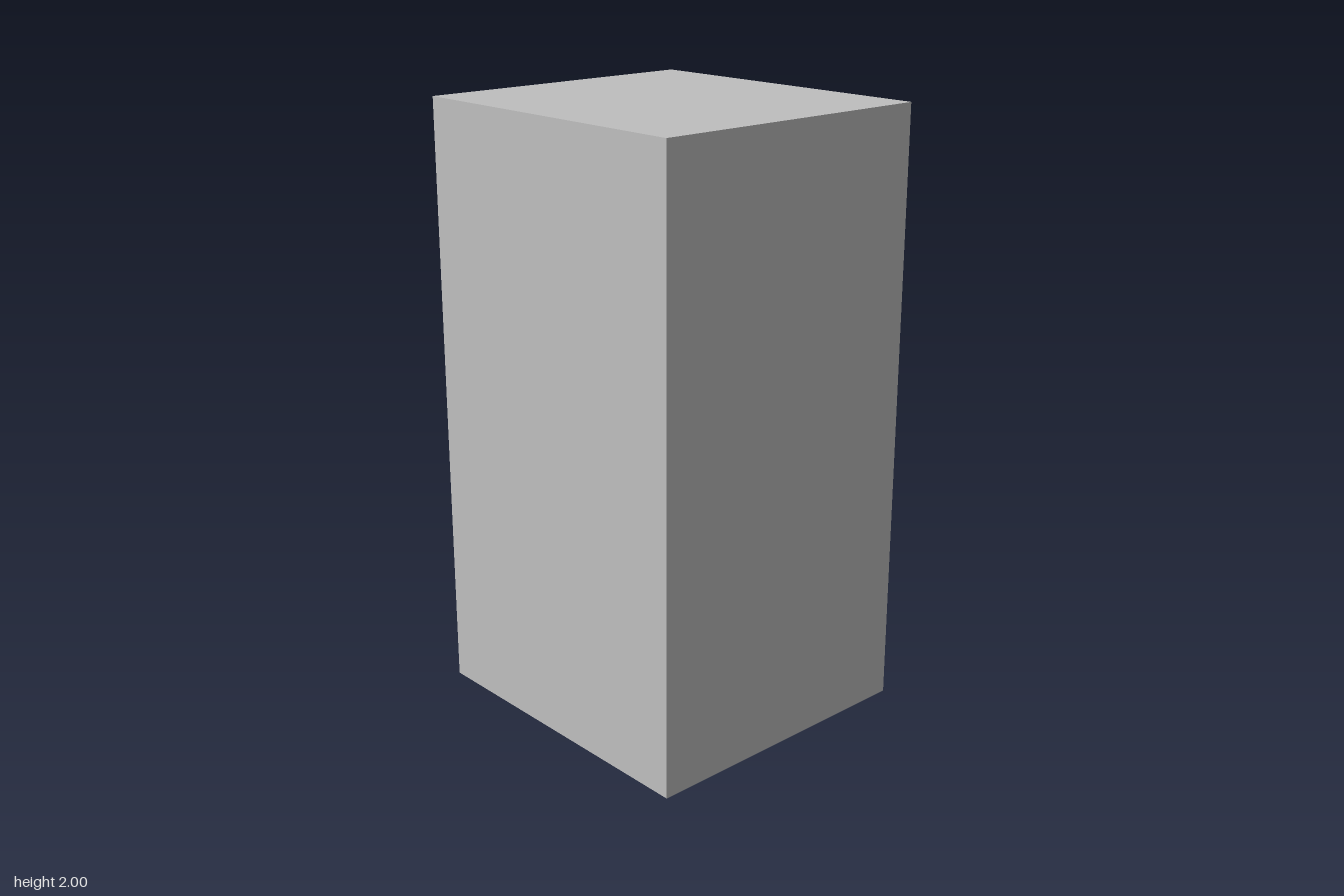
import * as THREE from 'three';

const W = 1.08, H = 2, D = 1, T = 0.04; // outer size and board thickness

export function createModel() {
  const cabinet = new THREE.Group();
  cabinet.name = 'cabinet';
  const grey = new THREE.MeshStandardMaterial({ color: 0xbfbfbf });
  grey.name = 'plain grey';

  const addBoard = (name, w, h, d, x, y, z) => {
    const board = new THREE.Mesh(new THREE.BoxGeometry(w, h, d), grey);
    board.name = name;
    board.position.set(x, y, z);
    cabinet.add(board);
  };

  // Carcass frame, open at the back: one extruded outline with a hole per bay
  const outline = new THREE.Shape([
    new THREE.Vector2(-W / 2, 0), new THREE.Vector2(W / 2, 0),
    new THREE.Vector2(W / 2, H), new THREE.Vector2(-W / 2, H),
  ]);
  const inner = W / 2 - T;
  for (const [low, high] of [[0.04, 0.75], [0.79, 1.5], [1.54, 1.96]]) {
    outline.holes.push(new THREE.Path([
      new THREE.Vector2(-inner, low), new THREE.Vector2(-inner, high),
      new THREE.Vector2(inner, high), new THREE.Vector2(inner, low),
    ]));
  }
  const frame = new THREE.Mesh(
    new THREE.ExtrudeGeometry(outline, { depth: D - T, bevelEnabled: false }), grey);
  frame.name = 'frameWithShelves';
  frame.position.z = -D / 2;
  cabinet.add(frame);

  // Closed front panel
  addBoard('frontPanel', W, H, T, 0, H / 2, D / 2 - T / 2);

  return cabinet;
}
